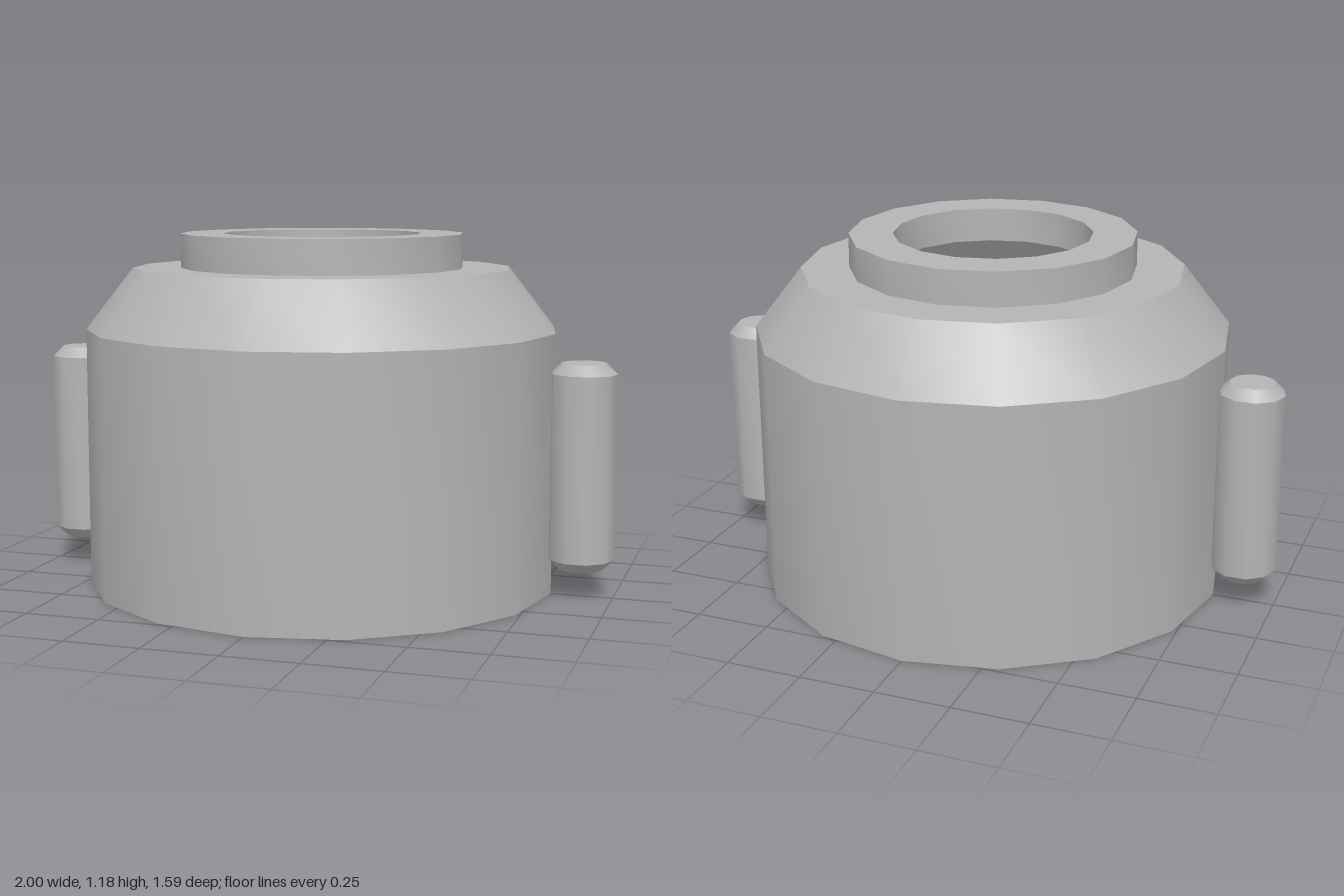
import * as THREE from 'three';
import { toCreasedNormals } from 'three/addons/utils/BufferGeometryUtils.js';

// Turned shape: smooth around the axis, sharp between profile segments
function turned(points, sides, start, crease) {
  const profile = points.map(([r, y]) => new THREE.Vector2(r, y));
  return toCreasedNormals(new THREE.LatheGeometry(profile, sides, start), crease);
}

export function createModel() {
  const model = new THREE.Group();
  model.name = 'collaredCap';

  const grey = new THREE.MeshStandardMaterial({ color: 0xb4b4b4, side: THREE.DoubleSide });
  grey.name = 'plain grey';

  // Open thin shell: wall, sloped shoulder, flat ledge, raised collar and its bore
  const shell = new THREE.Mesh(turned([
    [0.795, 0], [0.795, 0.866], [0.637, 1.07], [0.477, 1.07],
    [0.477, 1.184], [0.331, 1.184], [0.331, 1.07],
  ], 16, 0, 0.5), grey);
  shell.name = 'shell';
  model.add(shell);

  // Bevelled upright pins on both sides
  const pinGeometry = turned([
    [0, 0.094], [0.075, 0.094], [0.109, 0.128],
    [0.109, 0.741], [0.075, 0.775], [0, 0.775],
  ], 10, Math.PI / 2, 0.7);
  for (const side of [-1, 1]) {
    const pin = new THREE.Mesh(pinGeometry, grey);
    pin.name = side > 0 ? 'leftPin' : 'rightPin';
    pin.position.x = side * 0.891;
    model.add(pin);
  }
  return model;
}
